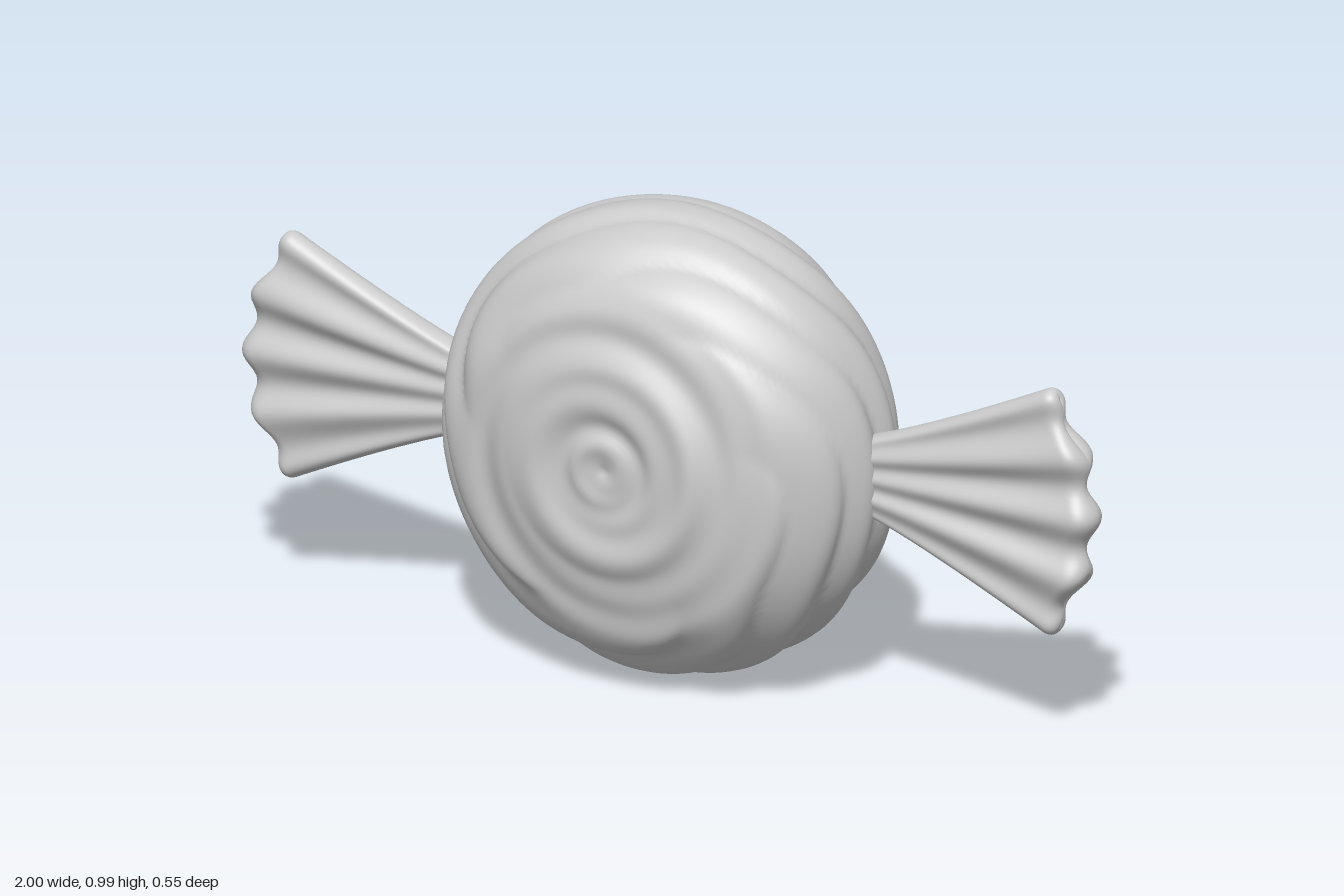
import * as THREE from 'three';
import { mergeVertices } from 'three/addons/utils/BufferGeometryUtils.js';

const material = new THREE.MeshStandardMaterial({ color: 0xcccccc });
const { smoothstep } = THREE.MathUtils;

// Wrapped sweet: a stepped lens turned about z, with swirls on the faces and helical folds on the rim
function bodyGeometry() {
  const face = [[0, 0.258], [0.025, 0.266], [0.06, 0.27], [0.09, 0.262], [0.13, 0.27], [0.2, 0.272],
    [0.24, 0.258], [0.28, 0.243], [0.34, 0.23], [0.38, 0.21], [0.425, 0.165], [0.462, 0.11], [0.482, 0.055]];
  const half = face.map(([r, z]) => new THREE.Vector2(r, z));
  const profile = [...half.map(p => new THREE.Vector2(p.x, -p.y)), new THREE.Vector2(0.487, 0), ...half.reverse()];
  const points = new THREE.SplineCurve(profile).getSpacedPoints(130);
  points.forEach(p => { p.x = Math.max(p.x, 0); });
  points[0].x = points[130].x = 0;
  const geo = new THREE.LatheGeometry(points, 180).rotateX(Math.PI / 2);
  const pos = geo.attributes.position;
  for (let i = 0; i < pos.count; i++) {
    const x = pos.getX(i), y = pos.getY(i), z = pos.getZ(i);
    const r = Math.hypot(x, y), a = Math.atan2(y, x);
    // Folds: rounded pleats with creased valleys
    const rim = smoothstep(r, 0.27, 0.44);
    const warp = 0.5 * Math.sin(3 * a + 0.7) + 0.35 * Math.sin(5 * a + 9 * z);
    const pleat = Math.abs(Math.sin(28 * z - 3 * a + warp)) - 0.5;
    const ripple = Math.sin(62 * z - 5 * a + 2 * warp);
    const push = rim * (0.017 * pleat + 0.003 * ripple);
    // Swirl: shallow spiral on both faces
    const swirl = smoothstep(r, 0.01, 0.06) * (1 - rim) * 0.0035 * Math.sin(r * 68 - Math.sign(z) * a);
    const uneven = 0.004 * smoothstep(r, 0.1, 0.3) * Math.sin(2 * a + 12 * r);
    const k = r > 0 ? 1 + push / r : 1;
    pos.setXYZ(i, x * k, y * k, z + Math.sign(z) * (swirl + uneven * (1 - rim) + push * 0.4 * Math.abs(z) / 0.2));
  }
  geo.deleteAttribute('uv');
  geo.deleteAttribute('normal');
  const merged = mergeVertices(geo, 1e-5);
  merged.computeVertexNormals();
  return merged;
}

// Twisted wrapper end: flat fan pointing along +x, pleated and scalloped at the outer edge
function fanGeometry() {
  const rings = 60, sides = 144, positions = [], index = [];
  for (let i = 0; i <= rings; i++) {
    const s = Math.sin((i / rings) * Math.PI / 2);
    const tip = Math.max(0, (s - 0.93) / 0.07);
    const round = Math.sqrt(Math.max(0, 1 - tip * tip));
    const height = 0.076 + 0.2 * Math.pow(s, 1.15) - 0.035 * (1 - round);
    for (let j = 0; j < sides; j++) {
      const a = (j / sides) * Math.PI * 2;
      const u = Math.cos(a);
      const ridge = Math.cos(u * Math.PI * 4);
      const end = 0.99 - 0.09 * u * u + 0.012 * ridge;
      const thick = 0.036 + ridge * (0.003 + 0.008 * smoothstep(s, 0, 0.8));
      const edge = Math.sqrt(Math.max(0, 1 - Math.pow(u, 8)));
      positions.push(0.44 + (end - 0.44) * s, height * u, Math.sign(Math.sin(a)) * thick * edge * round);
      if (i < rings) {
        const n = (j + 1) % sides, p = i * sides, q = p + sides;
        index.push(p + j, p + n, q + n, p + j, q + n, q + j);
      }
    }
  }
  const geo = new THREE.BufferGeometry();
  geo.setAttribute('position', new THREE.Float32BufferAttribute(positions, 3));
  geo.setIndex(index);
  geo.computeVertexNormals();
  return geo;
}

export function createModel() {
  const model = new THREE.Group();
  model.name = 'wrappedCandy';
  const add = (name, geometry, z, turn = 0) => {
    const mesh = new THREE.Mesh(geometry, material);
    mesh.name = name;
    mesh.position.set(0, 0.497, z);
    mesh.rotation.y = turn;
    model.add(mesh);
  };
  add('candyBody', bodyGeometry(), 0);
  const fan = fanGeometry();
  add('leftWrapperFan', fan, -0.005);
  add('rightWrapperFan', fan, -0.005, Math.PI);
  return model;
}
